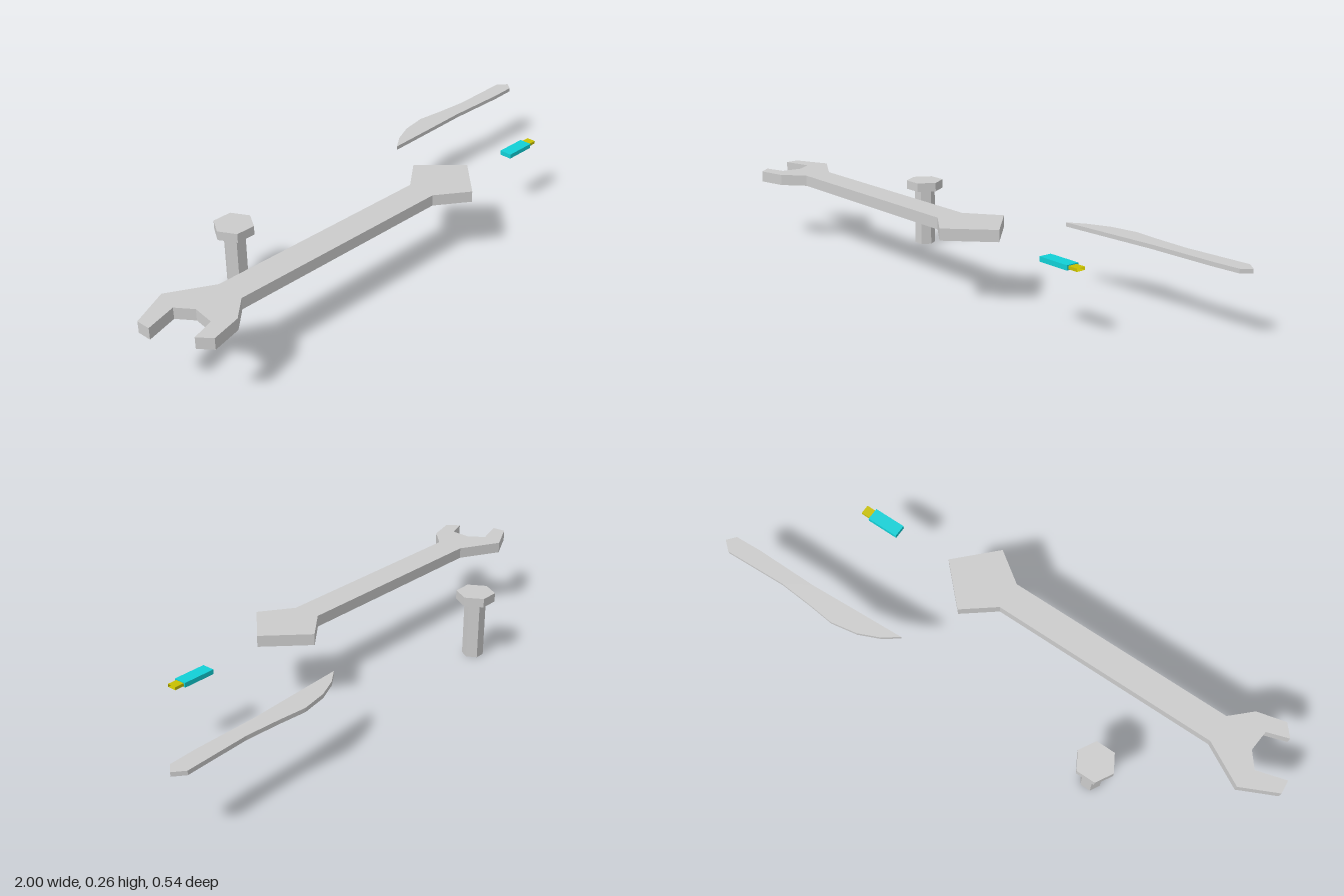
import * as THREE from 'three';

const material = (color) => new THREE.MeshStandardMaterial({ color, flatShading: true });

// Flat plate from an outline of [x, z] points, lying between two heights
function plate(name, outline, bottom, top, mat) {
  const shape = new THREE.Shape(outline.map(([x, z]) => new THREE.Vector2(x, -z)));
  const geometry = new THREE.ExtrudeGeometry(shape, { depth: top - bottom, bevelEnabled: false });
  geometry.rotateX(-Math.PI / 2);
  const mesh = new THREE.Mesh(geometry, mat);
  mesh.name = name;
  mesh.position.y = bottom;
  return mesh;
}

// Upright hexagonal prism with corners on the x axis
function hexPrism(name, radius, bottom, top, mat) {
  const geometry = new THREE.CylinderGeometry(radius, radius, top - bottom, 6);
  geometry.rotateY(Math.PI / 6);
  const mesh = new THREE.Mesh(geometry, mat);
  mesh.name = name;
  mesh.position.y = (top + bottom) / 2;
  return mesh;
}

export function createModel() {
  const model = new THREE.Group();
  model.name = 'toolSet';
  const grey = material(0xcccccc);

  // Wrench: open jaw on one end, pointed head on the other
  const wrench = [
    [-1, 0.06], [-0.875, 0], [-0.73, 0.08], [0.08, 0.08], [0.19, -0.006], [0.32, 0.125],
    [0.19, 0.257], [0.08, 0.18], [-0.73, 0.18], [-0.8, 0.247], [-0.9, 0.267], [-0.935, 0.23],
    [-0.86, 0.205], [-0.853, 0.13], [-0.893, 0.078], [-0.997, 0.108],
  ];
  wrench[10][1] = 0.272;
  model.add(plate('wrench', wrench, 0.223, 0.262, grey));

  // Knife: curved blade running into a slim handle
  const knife = [
    [0.295, -0.182], [0.35, -0.222], [0.425, -0.255], [0.52, -0.272], [0.62, -0.262],
    [0.74, -0.254], [0.88, -0.26], [0.965, -0.264], [1, -0.235], [0.975, -0.205],
    [0.88, -0.2], [0.65, -0.2], [0.46, -0.19],
  ];
  model.add(plate('knife', knife, 0.217, 0.231, grey));

  // Bolt
  const bolt = new THREE.Group();
  bolt.name = 'bolt';
  bolt.add(hexPrism('boltHead', 0.068, 0.21, 0.242, grey));
  bolt.add(hexPrism('boltShaft', 0.0375, 0, 0.21, grey));
  bolt.position.set(-0.466, 0, -0.177);
  model.add(bolt);

  // Memory stick: solid body with a hollow, open-ended plug
  const stick = new THREE.Group();
  stick.name = 'memoryStick';
  const body = new THREE.Mesh(new THREE.BoxGeometry(0.116, 0.016, 0.045), material(0x12d0d6));
  body.name = 'stickBody';
  stick.add(body);

  const plugMaterial = material(0xc8c000);
  plugMaterial.side = THREE.DoubleSide;
  const sleeve = new THREE.CylinderGeometry(Math.SQRT1_2, Math.SQRT1_2, 1, 4, 1, true);
  sleeve.rotateY(Math.PI / 4).rotateZ(Math.PI / 2).scale(0.034, 0.01, 0.033);
  const plug = new THREE.Mesh(sleeve, plugMaterial);
  plug.name = 'stickPlug';
  plug.position.x = 0.075;
  stick.add(plug);
  stick.position.set(0.588, 0.223, 0.128);
  model.add(stick);

  return model;
}
